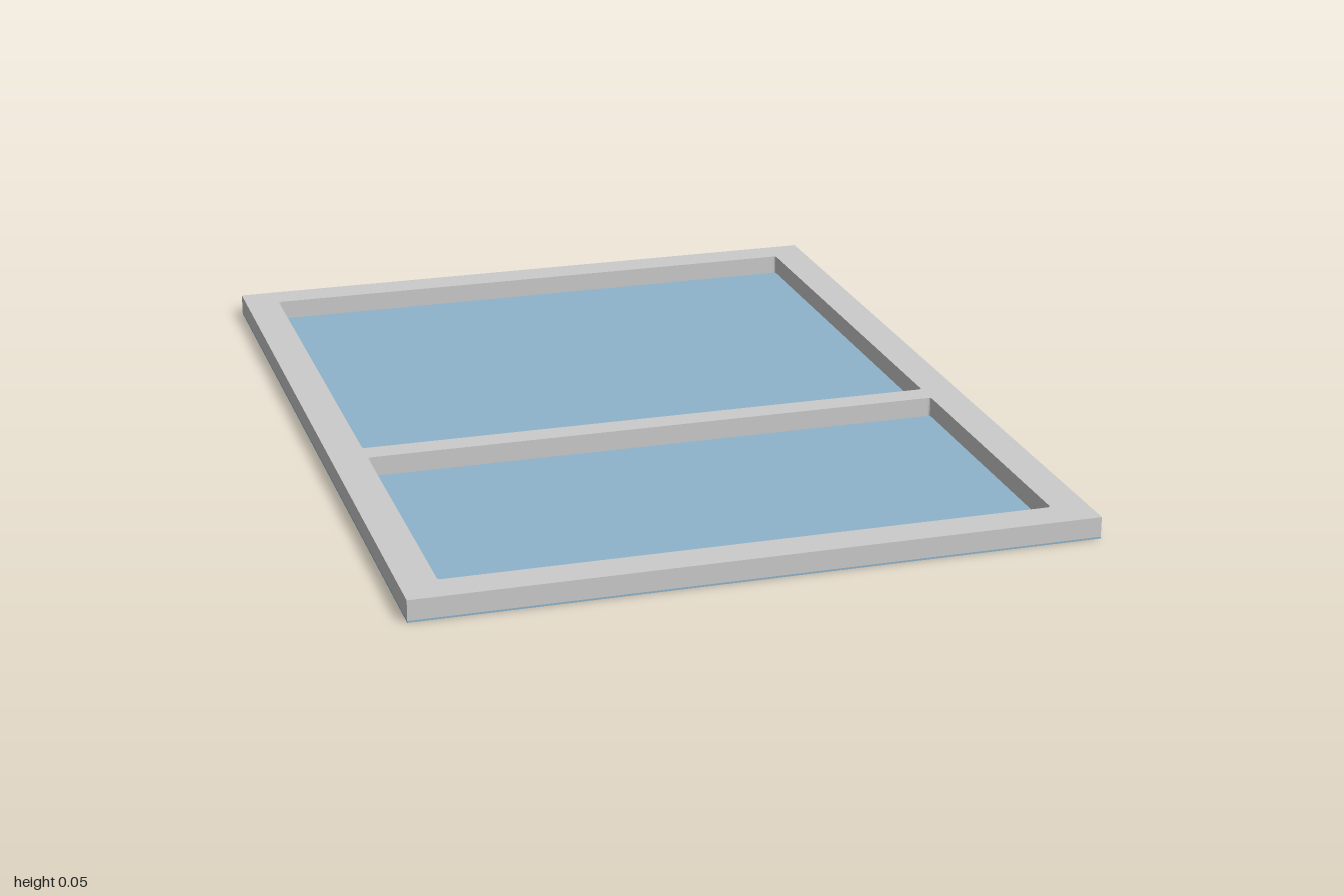
import * as THREE from 'three';

const HALF_W = 0.765, HALF_L = 1, HEIGHT = 0.05, PANE = 0.004;

// Rectangle outline with slightly rounded corners, from (x0, y0) to (x1, y1)
function roundedRect(path, x0, y0, x1, y1, r) {
  path.moveTo(x0 + r, y0);
  path.lineTo(x1 - r, y0);
  path.quadraticCurveTo(x1, y0, x1, y0 + r);
  path.lineTo(x1, y1 - r);
  path.quadraticCurveTo(x1, y1, x1 - r, y1);
  path.lineTo(x0 + r, y1);
  path.quadraticCurveTo(x0, y1, x0, y1 - r);
  path.lineTo(x0, y0 + r);
  path.quadraticCurveTo(x0, y0, x0 + r, y0);
  return path;
}

export function createModel() {
  const group = new THREE.Group();
  group.name = 'window';
  const grey = new THREE.MeshStandardMaterial({ color: 0xcccccc });
  const blue = new THREE.MeshStandardMaterial({ color: 0x8fb4cb });

  const add = (name, geometry, material) => {
    const mesh = new THREE.Mesh(geometry, material);
    mesh.name = name;
    group.add(mesh);
    return mesh;
  };

  // Frame with two openings divided by a crossbar
  const outline = new THREE.Shape([
    new THREE.Vector2(-HALF_W, -HALF_L), new THREE.Vector2(HALF_W, -HALF_L),
    new THREE.Vector2(HALF_W, HALF_L), new THREE.Vector2(-HALF_W, HALF_L),
  ]);
  for (const [zBack, zFront] of [[-0.92, 0.155], [0.215, 0.917]]) {
    outline.holes.push(roundedRect(new THREE.Path(), -0.682, -zFront, 0.682, -zBack, 0.008));
  }
  const frame = new THREE.ExtrudeGeometry(outline, {
    depth: HEIGHT - PANE, bevelEnabled: false, curveSegments: 4,
  });
  frame.rotateX(-Math.PI / 2).translate(0, PANE, 0);
  add('frame', frame, grey);

  // Glass sheet closing the underside
  add('glassPane', new THREE.BoxGeometry(2 * HALF_W, PANE, 2 * HALF_L), blue)
    .position.y = PANE / 2;

  // Flat sill strip on the glass behind the crossbar
  add('sillStrip', new THREE.BoxGeometry(1.364, 0.001, 0.066), grey)
    .position.set(0, PANE + 0.0005, 0.123);

  return group;
}
